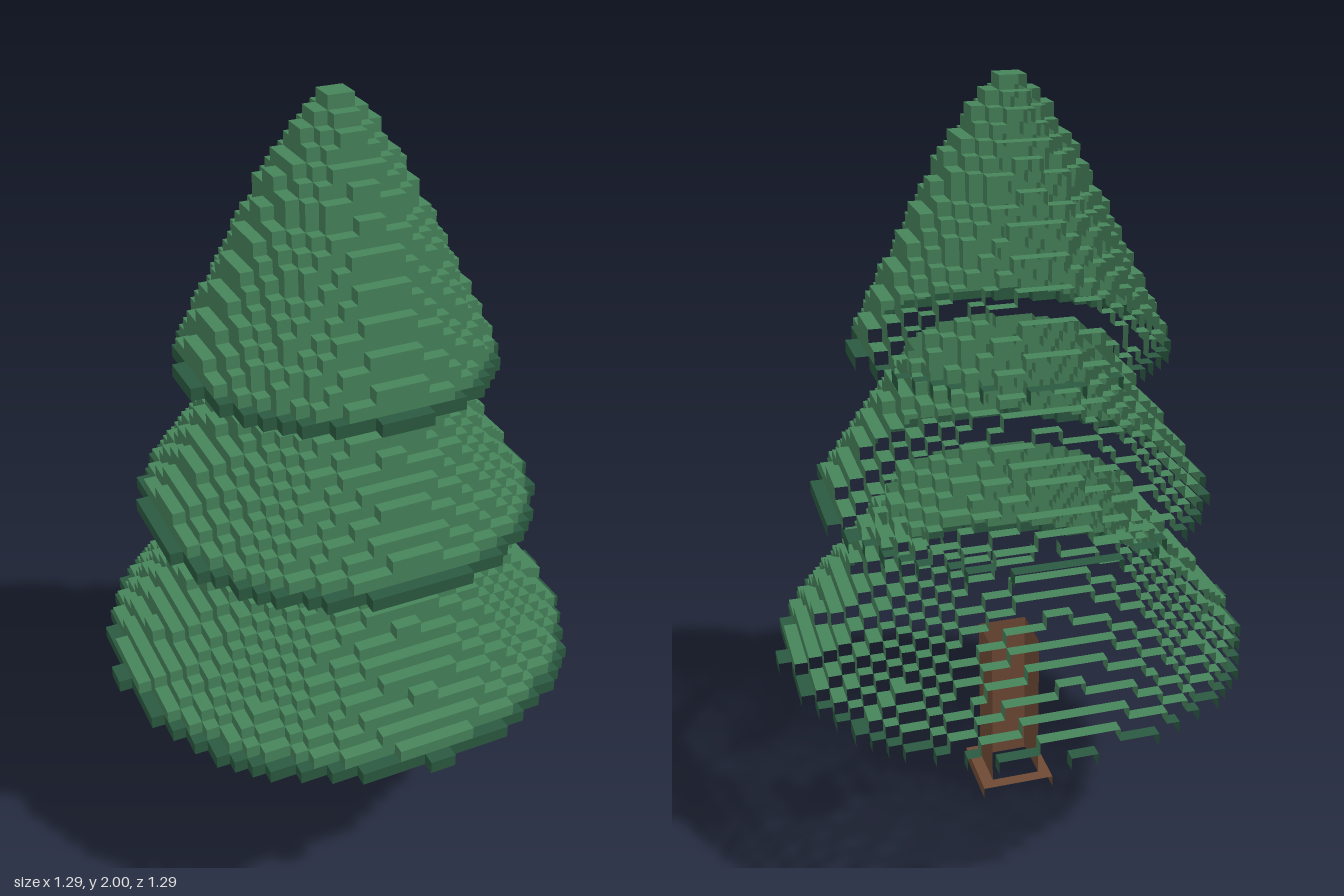
import * as THREE from 'three';

const U = 2 / 59; // size of one block

// Half-width, in blocks, of the row at index j for a round or square layer
const disc = (r) => (j) => {
  const d = r * r - (j + 0.5) ** 2;
  return d < 0.25 ? 0 : Math.floor(Math.sqrt(d) + 0.5);
};
const square = (n) => (j) => (j >= -n && j < n ? n : 0);

// Collects four-cornered faces, given in block units
function addQuad(out, a, b, c, d) {
  for (const p of [a, b, c, a, c, d]) out.push(p[0] * U, p[1] * U, p[2] * U);
}

// One slab of blocks from y0 to y1; its top shows only outside the slab above.
// The shell is open underneath and at the back of each block.
function addLayer(out, width, above, y0, y1) {
  for (let j = -20; j < 20; j++) {
    const w = width(j);
    if (!w) continue;
    const z0 = j, z1 = j + 1;
    // side walls
    addQuad(out, [w, y0, z1], [w, y0, z0], [w, y1, z0], [w, y1, z1]);
    addQuad(out, [-w, y0, z0], [-w, y0, z1], [-w, y1, z1], [-w, y1, z0]);
    const span = (inner, add) => {
      if (inner >= w) return;
      if (inner === 0) add(-w, w);
      else {
        add(-w, -inner);
        add(inner, w);
      }
    };
    // front walls
    span(width(j + 1), (a, b) =>
      addQuad(out, [a, y0, z1], [b, y0, z1], [b, y1, z1], [a, y1, z1]));
    // exposed top
    span(above(j), (a, b) =>
      addQuad(out, [a, y1, z1], [b, y1, z1], [b, y1, z0], [a, y1, z0]));
  }
}

function makeMesh(name, positions, material) {
  const g = new THREE.BufferGeometry();
  g.setAttribute('position', new THREE.Float32BufferAttribute(positions, 3));
  g.computeVertexNormals();
  const mesh = new THREE.Mesh(g, material);
  mesh.name = name;
  return mesh;
}

function makeMaterial(name, color) {
  const m = new THREE.MeshStandardMaterial({ color, side: THREE.DoubleSide });
  m.name = name;
  return m;
}

export function createModel() {
  const model = new THREE.Group();
  model.name = 'pineTree';
  const green = makeMaterial('needleGreen', 0x47845b);
  const darkGreen = makeMaterial('darkGreen', 0x2b5a41);
  const brown = makeMaterial('barkBrown', 0x6f4a35);

  // Trunk and its foot
  const foot = [], trunk = [];
  addLayer(foot, square(3), square(2), 0, 1);
  addLayer(trunk, square(2), square(2), 1, 14);
  model.add(makeMesh('trunkFoot', foot, brown), makeMesh('trunk', trunk, brown));

  // Radius of every layer of the three tiers, bottom to top
  const taper = (r, step, n) => Array.from({ length: n }, (_, i) => r - step * i);
  const tiers = [
    { name: 'lowerTier', radii: taper(18.53, 0.75, 13) },
    { name: 'middleTier', radii: taper(15, 0.68, 12) },
    { name: 'upperTier', radii: [...taper(11.7, 0.5, 16), 3.4, 2.9, 2.1, 1] },
  ];
  const all = tiers.flatMap((t) => t.radii);

  let k = 0;
  for (const tier of tiers) {
    const rim = [], needles = [];
    tier.radii.forEach((r, i) => {
      const above = disc(all[k + 1] ?? 0);
      addLayer(i === 0 ? rim : needles, disc(r), above, 14 + k, 15 + k);
      k++;
    });
    model.add(
      makeMesh(tier.name + 'Rim', rim, darkGreen),
      makeMesh(tier.name + 'Needles', needles, green));
  }
  return model;
}
